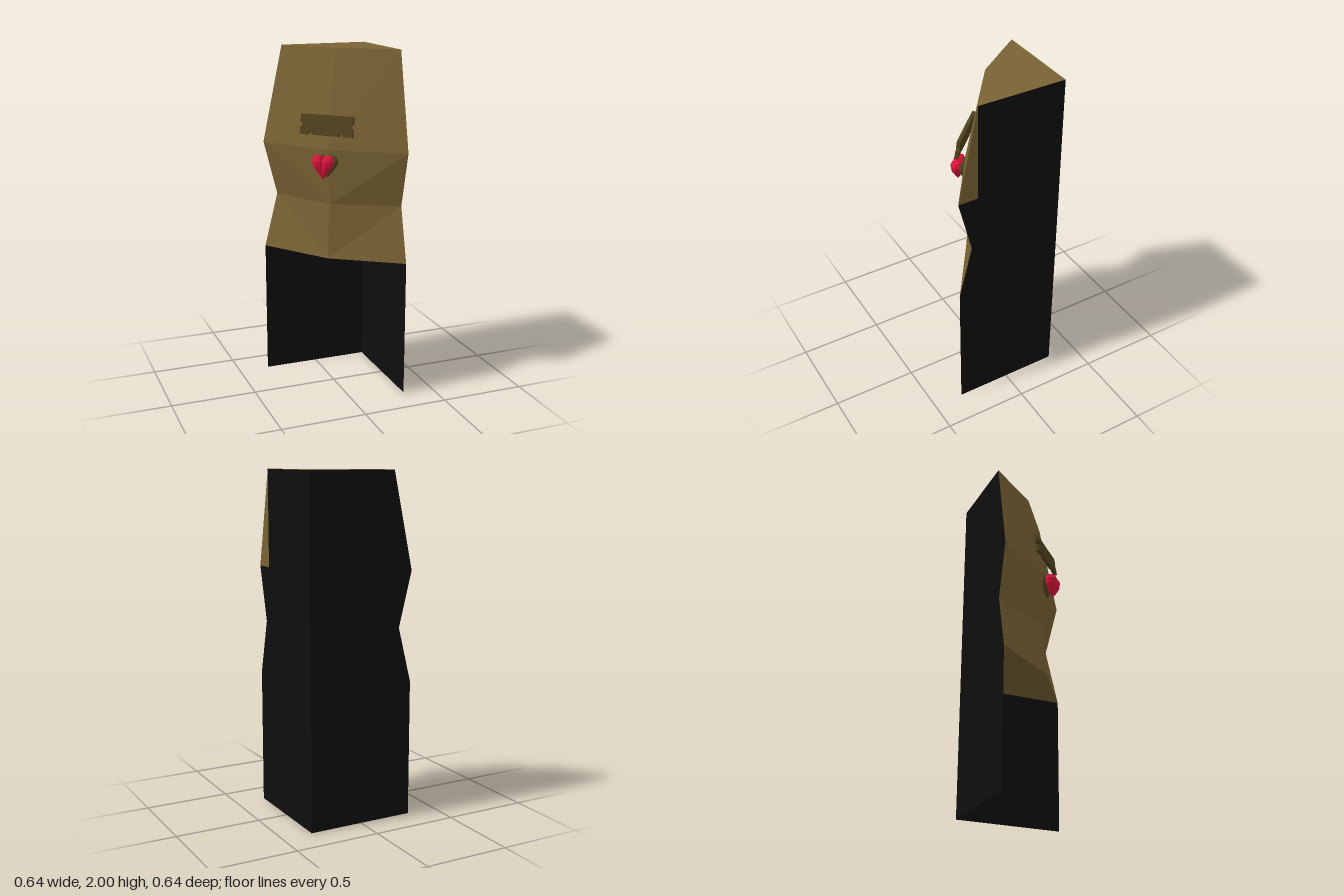
import * as THREE from 'three';

const S = 0.32; // half depth of the corner footprint
const mat = (color) => new THREE.MeshStandardMaterial({ color, flatShading: true, side: THREE.DoubleSide });
const black = mat(0x0e0e0e), brown = mat(0x7a6334), darkBrown = mat(0x51431f), red = mat(0xdc143c);

// Cross-sections of the faceted front: height, reach along each wall, ridge offset
const sections = [
  { y: 2.0, reach: 0.2, ridge: -0.02 },
  { y: 1.44, reach: 0.32, ridge: 0.06 },
  { y: 1.12, reach: 0.24, ridge: 0.043 },
  { y: 0.8, reach: 0.32, ridge: 0.06 },
];
const corners = ({ y, reach, ridge }) => [[-reach, y, -S], [-ridge, y, ridge], [S, y, reach]];

function add(parent, name, geometry, material) {
  const mesh = new THREE.Mesh(geometry, material);
  mesh.name = name;
  parent.add(mesh);
  return mesh;
}

function facets(triangles) {
  const g = new THREE.BufferGeometry();
  g.setAttribute('position', new THREE.Float32BufferAttribute(triangles.flat(2), 3));
  g.computeVertexNormals();
  return g;
}

function frontPanel() {
  const tris = [];
  for (let i = 0; i < sections.length - 1; i++) {
    const [ul, um, ur] = corners(sections[i]);
    const [ll, lm, lr] = corners(sections[i + 1]);
    tris.push([ul, ll, lm], [ul, lm, um], [um, lm, ur], [lm, lr, ur]);
  }
  return facets(tris);
}

// Horizontal panel closing the body back to the wall corner
function deck(section, up) {
  const [l, m, r] = corners(section);
  const back = [S, section.y, -S];
  return facets(up ? [[l, m, back], [m, r, back]] : [[l, back, m], [m, back, r]]);
}

function polygon(points) {
  return new THREE.ShapeGeometry(new THREE.Shape(points.map(([x, y]) => new THREE.Vector2(x, y))));
}

// Heart: two lathed lobes that lean together into one lower tip
function heartLobe(side) {
  const profile = [[0, -0.08], [0.016, -0.05], [0.033, -0.005], [0.037, 0.025], [0.026, 0.05], [0, 0.06]]
    .map(([x, y]) => new THREE.Vector2(x, y));
  const g = new THREE.LatheGeometry(profile, 8);
  const p = g.attributes.position;
  for (let i = 0; i < p.count; i++) {
    const lean = Math.min(1, (p.getY(i) + 0.08) / 0.085);
    p.setX(i, p.getX(i) + side * 0.031 * lean);
  }
  g.computeVertexNormals();
  return g;
}

function heart(name, material) {
  const group = new THREE.Group();
  group.name = name;
  for (const side of [-1, 1]) add(group, 'heartLobe', heartLobe(side), material);
  return group;
}

// Ornamental plate with notched edges
function plateGeometry() {
  const w = 0.16, h = 0.058;
  const shape = new THREE.Shape([
    [-w, h], [w, h], [w, 0.014], [w - 0.018, 0], [w, -0.014], [w, -h],
    [0.105, -h], [0.09, -0.03], [0.075, -h], [-0.085, -h], [-0.1, -0.032], [-0.115, -h],
    [-w, -h], [-w, -0.014], [-w + 0.018, 0], [-w, 0.014],
  ].map(([x, y]) => new THREE.Vector2(x, y)));
  return new THREE.ExtrudeGeometry(shape, { depth: 0.02, bevelEnabled: false }).translate(0, 0, -0.01);
}

export function createModel() {
  const model = new THREE.Group();
  model.name = 'cornerCabinet';

  // Back wall follows the front's outline
  const outline = sections.map(({ y, reach }) => [-reach, y]);
  add(model, 'backWall', polygon([[S, 0], [S, 2], ...outline, [-S, 0]]), black).position.z = -S;

  // Side wall, with a brown cheek filling its sloped upper corner
  const sideWall = polygon([[S, 0], [S, 2], [-0.2, 2], [-0.2, 1.44], ...outline.slice(1), [-S, 0]]);
  add(model, 'sideWall', sideWall.rotateY(Math.PI / 2), black).position.x = S;
  add(model, 'sideCheek', facets([[[S, 2, 0.2], [S, 1.44, 0.32], [S, 1.44, 0.2]]]), brown);

  // Faceted body
  add(model, 'frontPanel', frontPanel(), brown);
  add(model, 'topPanel', deck(sections[0], true), brown);
  add(model, 'bottomPanel', deck(sections[3], false), brown);

  // Ornaments face out along the diagonal
  const ornaments = new THREE.Group();
  ornaments.name = 'ornaments';
  ornaments.rotation.y = -Math.PI / 4;
  model.add(ornaments);

  const plate = add(ornaments, 'plate', plateGeometry(), darkBrown);
  plate.position.set(-0.004, 1.58, 0.085);
  plate.rotation.x = -0.15;

  const gem = heart('heart', red);
  gem.position.set(-0.009, 1.36, 0.129);
  const backing = heart('heartBacking', darkBrown);
  backing.position.set(0, 1.36, 0.09);
  backing.scale.set(1, 0.95, 0.5);
  ornaments.add(gem, backing);

  return model;
}
